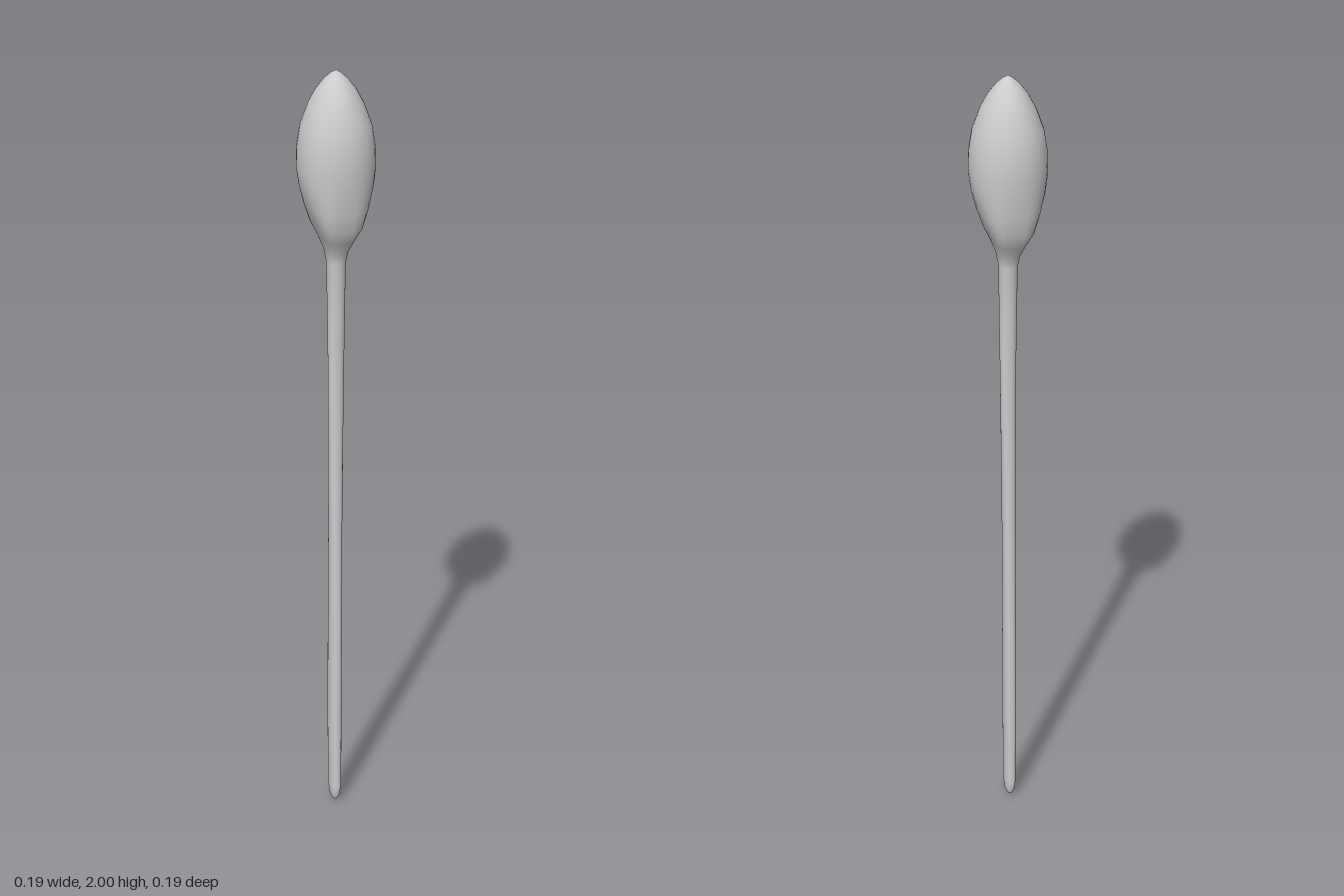
import * as THREE from 'three';

const material = new THREE.MeshStandardMaterial({ color: 0xcccccc, roughness: 0.7 });
const SIDES = 32;

// Loft rounded sections [y, half width x, half depth z, roundness exponent, centre x].
// The first and last sections are single points.
function loft(sections) {
  const positions = [], index = [];
  const last = sections.length - 1;
  for (const [y, a, b, n, cx] of sections) {
    for (let j = 0; j < SIDES; j++) {
      const t = (j / SIDES) * Math.PI * 2;
      const c = Math.cos(t), s = Math.sin(t);
      positions.push(
        cx + a * Math.sign(c) * Math.abs(c) ** (2 / n),
        y,
        b * Math.sign(s) * Math.abs(s) ** (2 / n));
    }
  }
  const id = (i, j) => i * SIDES + (i === 0 || i === last ? 0 : j % SIDES);
  for (let i = 0; i < last; i++) {
    for (let j = 0; j < SIDES; j++) {
      const a = id(i, j), b = id(i, j + 1), c = id(i + 1, j), d = id(i + 1, j + 1);
      if (c !== d) index.push(a, c, d);
      if (a !== b) index.push(a, d, b);
    }
  }
  const geometry = new THREE.BufferGeometry();
  geometry.setAttribute('position', new THREE.Float32BufferAttribute(positions, 3));
  geometry.setIndex(index);
  geometry.computeVertexNormals();
  return geometry;
}

export function createModel() {
  const group = new THREE.Group();
  group.name = 'stirrer';

  // Slim handle flowing through the neck into the bulb, as one skin
  const body = new THREE.Mesh(loft([
    // rounded foot
    [0.0, 0, 0, 2, -0.004],
    [0.006, 0.007, 0.012, 2, -0.004],
    [0.02, 0.012, 0.021, 2.2, -0.004],
    [0.05, 0.015, 0.027, 2.3, -0.004],
    // handle, deep at the foot and narrowing upwards
    [0.28, 0.016, 0.027, 2.4, -0.004],
    [0.55, 0.016, 0.026, 2.4, -0.003],
    [0.8, 0.016, 0.023, 2.4, -0.002],
    [1.05, 0.018, 0.019, 2.3, -0.001],
    [1.28, 0.02, 0.017, 2.3, 0],
    [1.42, 0.021, 0.023, 2.3, 0],
    [1.53, 0.022, 0.03, 2.3, 0],
    // flared neck with a shoulder at front and back
    [1.56, 0.027, 0.038, 2.6, 0],
    [1.59, 0.038, 0.056, 3, 0],
    [1.625, 0.054, 0.075, 3.4, 0],
    [1.67, 0.071, 0.083, 2.8, 0],
    // bulb
    [1.72, 0.086, 0.091, 2.3, 0],
    [1.77, 0.094, 0.095, 2.1, 0],
    [1.82, 0.092, 0.095, 2.1, 0],
    [1.87, 0.084, 0.087, 2.1, 0],
    [1.92, 0.066, 0.07, 2, 0],
    [1.955, 0.047, 0.051, 2, 0],
    [1.98, 0.027, 0.03, 2, 0],
    [1.993, 0.012, 0.013, 2, 0],
    [2.0, 0, 0, 2, 0],
  ]), material);
  body.name = 'handleAndBulb';
  group.add(body);
  return group;
}
